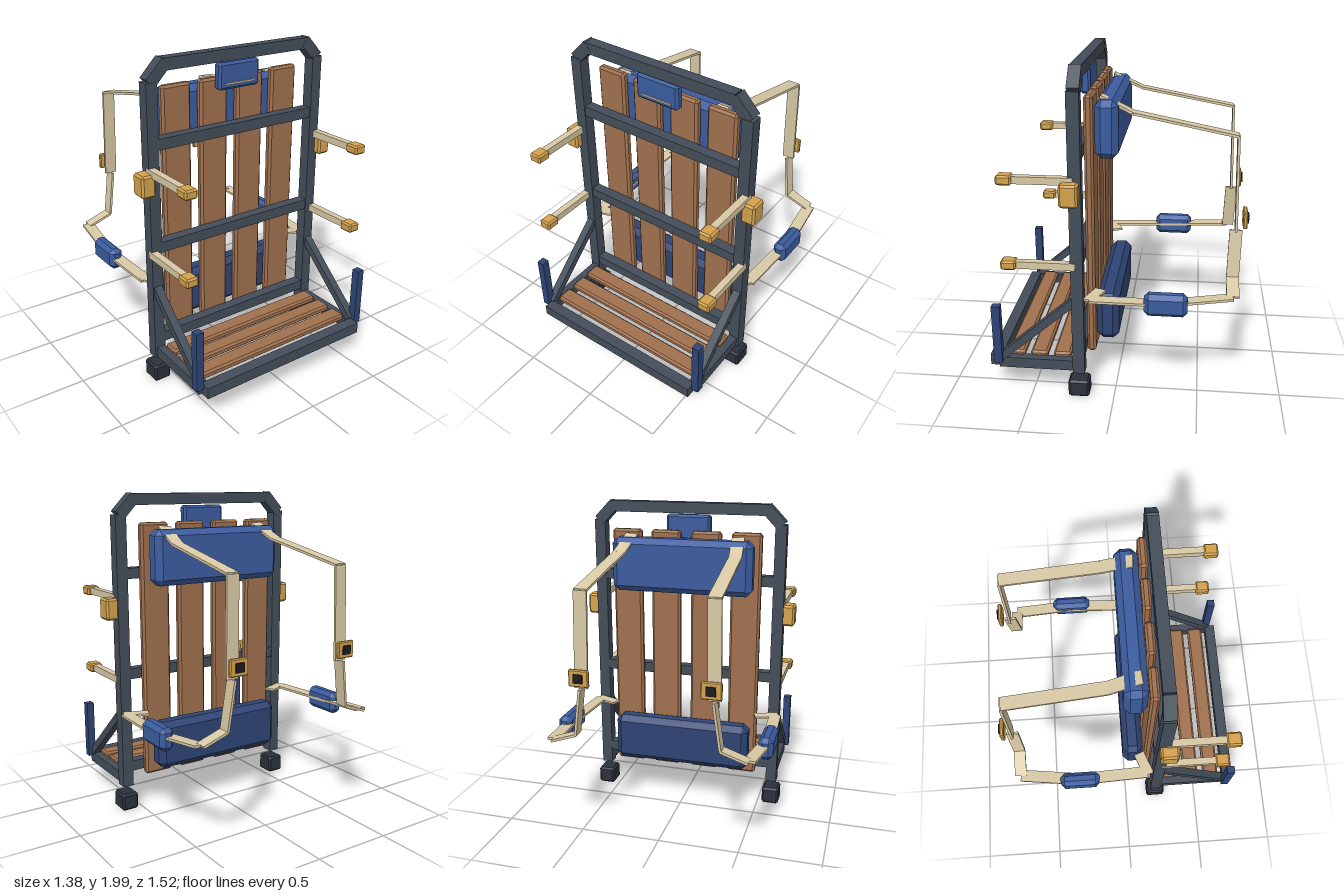
import * as THREE from 'three';
import { ConvexGeometry } from 'three/addons/geometries/ConvexGeometry.js';

const mat = (color) => new THREE.MeshStandardMaterial({ color, flatShading: true });
const V = (p) => new THREE.Vector3(...p);

export function createModel() {
  const root = new THREE.Group();
  const metal = mat(0x434d59), wood = mat(0xa0704e), blue = mat(0x3b5c9f), navy = mat(0x2f4475);
  const gold = mat(0xd4a24c), webbing = mat(0xd8c9a5), rubber = mat(0x2b313c), black = mat(0x1a1c20);

  const add = (name, geometry, material, pos) => {
    const mesh = new THREE.Mesh(geometry, material);
    mesh.name = name;
    if (pos) mesh.position.set(...pos);
    root.add(mesh);
    return mesh;
  };
  const box = (name, material, size, pos) => add(name, new THREE.BoxGeometry(...size), material, pos);

  // Box with all edges chamfered by c
  const chamferBox = (name, material, size, pos, c) => {
    const h = size.map((v) => v / 2), points = [];
    for (const sx of [-1, 1]) for (const sy of [-1, 1]) for (const sz of [-1, 1])
      for (let full = 0; full < 3; full++)
        points.push(V([sx, sy, sz].map((s, i) => s * (i === full ? h[i] : h[i] - c))));
    return add(name, new ConvexGeometry(points), material, pos);
  };

  // Straight bar from a to b, w wide along the given axis and t thick
  const bar = (name, material, a, b, w, t, wide) => {
    const A = V(a), B = V(b), dir = B.clone().sub(A), length = dir.length();
    dir.normalize();
    const x = V(wide).addScaledVector(dir, -V(wide).dot(dir)).normalize();
    const z = new THREE.Vector3().crossVectors(x, dir);
    const mesh = add(name, new THREE.BoxGeometry(w, length, t), material);
    mesh.quaternion.setFromRotationMatrix(new THREE.Matrix4().makeBasis(x, dir, z));
    mesh.position.copy(A.add(B).multiplyScalar(0.5));
    return mesh;
  };

  const X = [1, 0, 0], Z = [0, 0, 1];

  // Frame cross bars and shelf front
  box('topBar', metal, [1.0, 0.068, 0.068], [0, 1.953, 0.21]);
  for (const y of [1.515, 0.89, 0.285]) box('crossBar', metal, [1.12, 0.065, 0.065], [0, y, 0.21]);
  box('shelfFrontBar', metal, [1.17, 0.07, 0.07], [0, 0.197, 0.724]);

  // Wooden back slats and shelf slats
  for (const x of [-0.385, -0.13, 0.13, 0.385])
    chamferBox('backSlat', wood, [0.19, 1.59, 0.052], [x, 1.022, 0.151], 0.014);
  for (const z of [0.322, 0.463, 0.604])
    chamferBox('shelfSlat', wood, [1.12, 0.045, 0.106], [0, 0.232, z], 0.012);

  // Back pads
  chamferBox('upperPad', blue, [0.89, 0.335, 0.135], [0, 1.612, 0.057], 0.036);
  chamferBox('lowerPad', navy, [0.89, 0.303, 0.135], [0, 0.441, 0.057], 0.036);

  // Plate on the front with a plain trim strip
  chamferBox('frontPlate', blue, [0.285, 0.157, 0.06], [0, 1.832, 0.214], 0.014);
  box('plateTrim', webbing, [0.205, 0.01, 0.01], [0, 1.789, 0.246]);

  for (const s of [1, -1]) {
    const m = ([x, y, z]) => [s * x, y, z];

    // Uprights, corners, shelf rails, braces and feet
    box('upright', metal, [0.07, 1.71, 0.072], m([0.585, 1.01, 0.212]));
    bar('cornerBrace', metal, m([0.59, 1.86, 0.21]), m([0.487, 1.967, 0.21]), 0.07, 0.07, Z);
    box('shelfRail', metal, [0.055, 0.066, 0.5], m([0.58, 0.197, 0.45]));
    bar('shelfBrace', metal, m([0.587, 0.23, 0.69]), m([0.587, 0.645, 0.215]), 0.05, 0.046, X);
    chamferBox('foot', rubber, [0.11, 0.11, 0.126], m([0.586, 0.056, 0.212]), 0.012);
    box('shelfStake', navy, [0.048, 0.375, 0.05], m([0.611, 0.397, 0.699]));

    // Side blocks and forward arms with caps
    chamferBox('sideBlock', gold, [0.088, 0.132, 0.106], m([0.645, 1.303, 0.239]), 0.012);
    for (const y of [1.37, 0.858]) {
      box('arm', webbing, [0.043, 0.043, 0.36], m([0.604, y, 0.4]));
      chamferBox('armCap', gold, [0.08, 0.056, 0.09], m([0.603, y, 0.604]), 0.01);
    }

    // Shoulder strap: a chain of flat ribbons, each with its own wide axis
    const path = [
      [0.34, 1.79, 0.095], [0.36, 1.702, -0.09], [0.375, 1.59, -0.677], [0.385, 1.03, -0.69],
      [0.425, 0.745, -0.682], [0.58, 0.692, -0.682], [0.622, 0.657, -0.3], [0.602, 0.647, 0.14],
    ].map(m);
    const wides = [X, X, X, Z, Z, X, X];
    wides.forEach((wide, i) =>
      bar('shoulderStrap', webbing, path[i], path[i + 1], i < 3 ? 0.078 : 0.074, 0.015, wide));
    bar('strapAnchor', webbing, m([0.62, 0.648, 0.148]), m([0.475, 0.648, 0.092]), 0.068, 0.014, Z);

    // Grip on the lower strap and buckle on the upper one
    chamferBox('strapGrip', blue, [0.086, 0.136, 0.25], m([0.628, 0.653, -0.302]), 0.026);
    chamferBox('buckle', gold, [0.118, 0.1, 0.025], m([0.378, 1.105, -0.738]), 0.006);
    box('buckleCentre', black, [0.055, 0.052, 0.012], m([0.378, 1.105, -0.754]));
  }
  return root;
}
